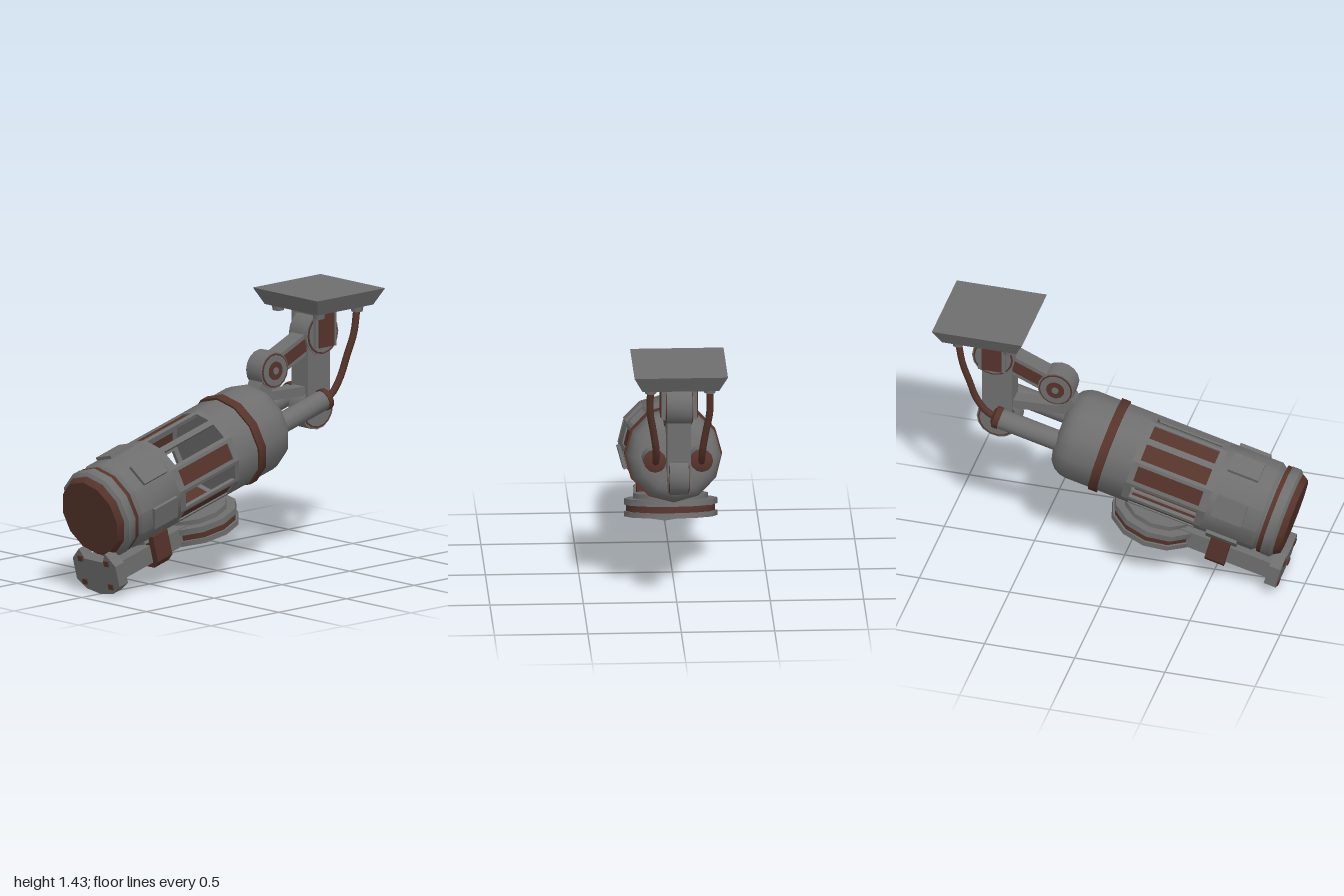
import * as THREE from 'three';
import { toCreasedNormals } from 'three/addons/utils/BufferGeometryUtils.js';

const gray = new THREE.MeshStandardMaterial({ color: 0x6e6e6e });
gray.name = 'grey metal';
const brown = new THREE.MeshStandardMaterial({ color: 0x55332a });
brown.name = 'rust brown';

const SIDES = 12, R = 0.25, STEP = Math.PI / 6;

function add(parent, name, geo, mat, x = 0, y = 0, z = 0) {
  const m = new THREE.Mesh(geo, mat);
  m.name = name;
  m.position.set(x, y, z);
  parent.add(m);
  return m;
}
const box = (w, h, d) => new THREE.BoxGeometry(w, h, d);

// Turned solid from [radius, distance back along the barrel] pairs
function turned(points) {
  const g = new THREE.LatheGeometry(points.map(p => new THREE.Vector2(p[0], p[1])), SIDES);
  g.rotateX(-Math.PI / 2);
  return toCreasedNormals(g, 0.65);
}
const drum = (r, a, b) => turned([[0, a], [r, a], [r, b], [0, b]]);

// Cylinder lying along x
function axle(r, w, n = 16) {
  const g = new THREE.CylinderGeometry(r, r, w, n);
  g.rotateZ(Math.PI / 2);
  return toCreasedNormals(g, 0.6);
}

// Flat outline extruded along z
function slab(points, depth) {
  return new THREE.ExtrudeGeometry(new THREE.Shape(points.map(p => new THREE.Vector2(p[0], p[1]))),
    { depth, bevelEnabled: false });
}

function buildBarrel() {
  const b = new THREE.Group();
  b.name = 'barrel';

  // Front lens and collar rings
  add(b, 'lens', turned([[0, 0], [0.21, 0], [0.228, 0.03], [0.228, 0.05], [0, 0.05]]), brown);
  add(b, 'frontCollar', turned([[0, 0.035], [0.232, 0.035], [0.25, 0.05], [0.25, 0.1], [0, 0.1]]), gray);
  add(b, 'collarBand', drum(0.247, 0.1, 0.125), brown);
  add(b, 'collarNeck', drum(0.232, 0.12, 0.15), gray);

  // Main shell, front and rear of the window section
  add(b, 'frontShell', turned([[0, 0.135], [0.235, 0.135], [R, 0.155], [R, 0.45], [0, 0.45]]), gray);
  add(b, 'rearShell', turned([[0, 0.89], [R, 0.89], [R, 1.22], [0.244, 1.255], [0.226, 1.29],
    [0.195, 1.318], [0.15, 1.33], [0, 1.33]]), gray);
  add(b, 'rearBand', drum(0.262, 1.035, 1.085), brown);

  // One window frame per facet, some of them filled
  const width = 2 * R * Math.sin(STEP / 2), face = R * Math.cos(STEP / 2);
  const frame = new THREE.Shape([[-width / 2, 0.44], [width / 2, 0.44], [width / 2, 0.9], [-width / 2, 0.9]]
    .map(p => new THREE.Vector2(...p)));
  frame.holes.push(new THREE.Path([[-0.046, 0.485], [-0.046, 0.86], [0.046, 0.86], [0.046, 0.485]]
    .map(p => new THREE.Vector2(...p))));
  const frameGeo = new THREE.ExtrudeGeometry(frame, { depth: 0.022, bevelEnabled: false });
  frameGeo.rotateX(-Math.PI / 2);
  const open = [0, 1, 3, 8];
  for (let i = 0; i < SIDES; i++) {
    const facet = new THREE.Group();
    facet.name = 'facet';
    facet.rotation.z = -(i + 0.5) * STEP;
    b.add(facet);
    add(facet, 'windowFrame', frameGeo, gray, 0, face - 0.022, 0);
    if (!open.includes(i)) add(facet, 'windowPane', box(0.1, 0.009, 0.38), brown, 0, face - 0.013, -0.672);
    if (i % 2 === 1) add(facet, 'raisedPlate', box(0.125, 0.03, 0.175), gray, 0, face + 0.003, -0.32);
  }

  // Foot: end plate with bolts, bar, strap and round pad
  add(b, 'endPlate', slab([[-0.1, -0.18], [-0.165, -0.245], [-0.165, -0.365], [-0.1, -0.415], [0, -0.43],
    [0.1, -0.415], [0.165, -0.365], [0.165, -0.245], [0.1, -0.18], [0.07, -0.235], [-0.07, -0.235]],
    0.065), gray, 0, 0, -0.03);
  for (const x of [-0.1, 0.1]) for (const y of [-0.237, -0.373])
    add(b, 'bolt', box(0.034, 0.03, 0.012), brown, x, y, 0.037);
  add(b, 'footBar', box(0.25, 0.1, 0.56), gray, 0, -0.305, -0.3);
  add(b, 'strap', slab([[-0.165, -0.2], [-0.165, -0.345], [-0.125, -0.386], [0.125, -0.386],
    [0.165, -0.345], [0.165, -0.2]], 0.11), brown, 0, 0, -0.375);
  const pad = (name, r, y0, y1, mat) => add(b, name,
    toCreasedNormals(new THREE.CylinderGeometry(r, r, y1 - y0, SIDES), 0.6), mat, 0, (y0 + y1) / 2, -0.7);
  pad('padBottom', 0.25, -0.358, -0.33, gray);
  pad('padBand', 0.238, -0.33, -0.295, brown);
  pad('padTop', 0.25, -0.295, -0.262, gray);
  pad('padNeck', 0.2, -0.262, -0.235, gray);

  // Rear tubes with end caps
  for (const x of [-0.125, 0.125]) {
    add(b, 'rearTube', drum(0.056, 1.25, 1.66), gray, x);
    add(b, 'tubeCap', turned([[0, 1.65], [0.061, 1.65], [0.061, 1.68], [0.035, 1.695], [0, 1.695]]), brown, x);
  }
  b.position.set(0, 0.425, 0.94);
  b.rotation.x = Math.PI / 12;
  return b;
}

// Round joint with rim rings on both sides
function joint(parent, name, r, half, y, z, hub) {
  const g = new THREE.Group();
  g.name = name;
  g.position.set(0, y, z);
  parent.add(g);
  add(g, 'jointDrum', axle(r, half * 2), gray);
  add(g, 'rimRing', axle(r * 0.93, half * 2 + 0.008), brown);
  add(g, 'jointFace', axle(r * 0.85, half * 2 + 0.014), gray);
  if (hub) {
    add(g, 'hub', axle(r * 0.5, half * 2 + 0.02), brown);
    add(g, 'hubPin', axle(r * 0.2, half * 2 + 0.026, 10), gray);
  }
}

// Straight bar between two points in the middle plane, each given as [y, z]
function link(parent, name, a, b, w, h, panel) {
  const dy = b[0] - a[0], dz = b[1] - a[1], len = Math.hypot(dy, dz);
  const g = new THREE.Group();
  g.name = name;
  g.position.set(0, (a[0] + b[0]) / 2, (a[1] + b[1]) / 2);
  g.rotation.x = Math.atan2(-dy, dz);
  parent.add(g);
  add(g, 'linkBar', box(w, h, len), gray);
  if (panel) add(g, 'linkPanel', box(w + 0.008, h * 0.6, len * 0.75), brown);
}

export function createModel() {
  const root = new THREE.Group();
  root.name = 'ceilingUnit';
  root.add(buildBarrel());

  // Ceiling plate: square frustum
  const plate = new THREE.CylinderGeometry(0.25 * Math.SQRT2, 0.205 * Math.SQRT2, 0.09, 4).toNonIndexed();
  plate.rotateY(Math.PI / 4);
  plate.computeVertexNormals();
  add(root, 'ceilingPlate', plate, gray, 0, 1.39, -0.75);

  // Hanger cheeks
  for (const s of [-1, 1]) {
    add(root, 'hangerCheek', box(0.025, 0.22, 0.15), gray, s * 0.083, 1.24, -0.712);
    add(root, 'cheekPanel', box(0.008, 0.185, 0.11), brown, s * 0.0965, 1.225, -0.712);
  }
  add(root, 'hangerBlock', box(0.19, 0.04, 0.15), gray, 0, 1.33, -0.712);

  // Folding arm
  const top = [1.2, -0.71], elbow = [1.048, -0.367], low = [0.796, -0.689];
  joint(root, 'upperJoint', 0.118, 0.068, ...top, false);
  joint(root, 'elbowJoint', 0.1, 0.058, ...elbow, true);
  joint(root, 'lowerJoint', 0.118, 0.05, ...low, false);
  link(root, 'upperLink', top, elbow, 0.1, 0.11, true);
  link(root, 'verticalLink', [1.2, -0.69], [0.8, -0.69], 0.125, 0.165, false);
  link(root, 'elbowBracket', elbow, [0.88, -0.27], 0.1, 0.09, false);
  link(root, 'rearStrut', [0.91, -0.27], [0.895, -0.65], 0.08, 0.05, false);

  // Hoses and their sockets
  for (const s of [-1, 1]) {
    const path = new THREE.CatmullRomCurve3([[0.125, 0.85, -0.67], [0.122, 0.885, -0.735], [0.125, 0.965, -0.79],
      [0.14, 1.07, -0.82], [0.16, 1.2, -0.855], [0.158, 1.34, -0.88]]
      .map(p => new THREE.Vector3(s * p[0], p[1], p[2])));
    add(root, 'hose', new THREE.TubeGeometry(path, 20, 0.019, 8), brown);
    for (const z of [-0.6, -0.88])
      add(root, 'hoseSocket', new THREE.CylinderGeometry(0.036, 0.03, 0.035, 8), gray, s * 0.158, 1.33, z);
  }
  return root;
}
